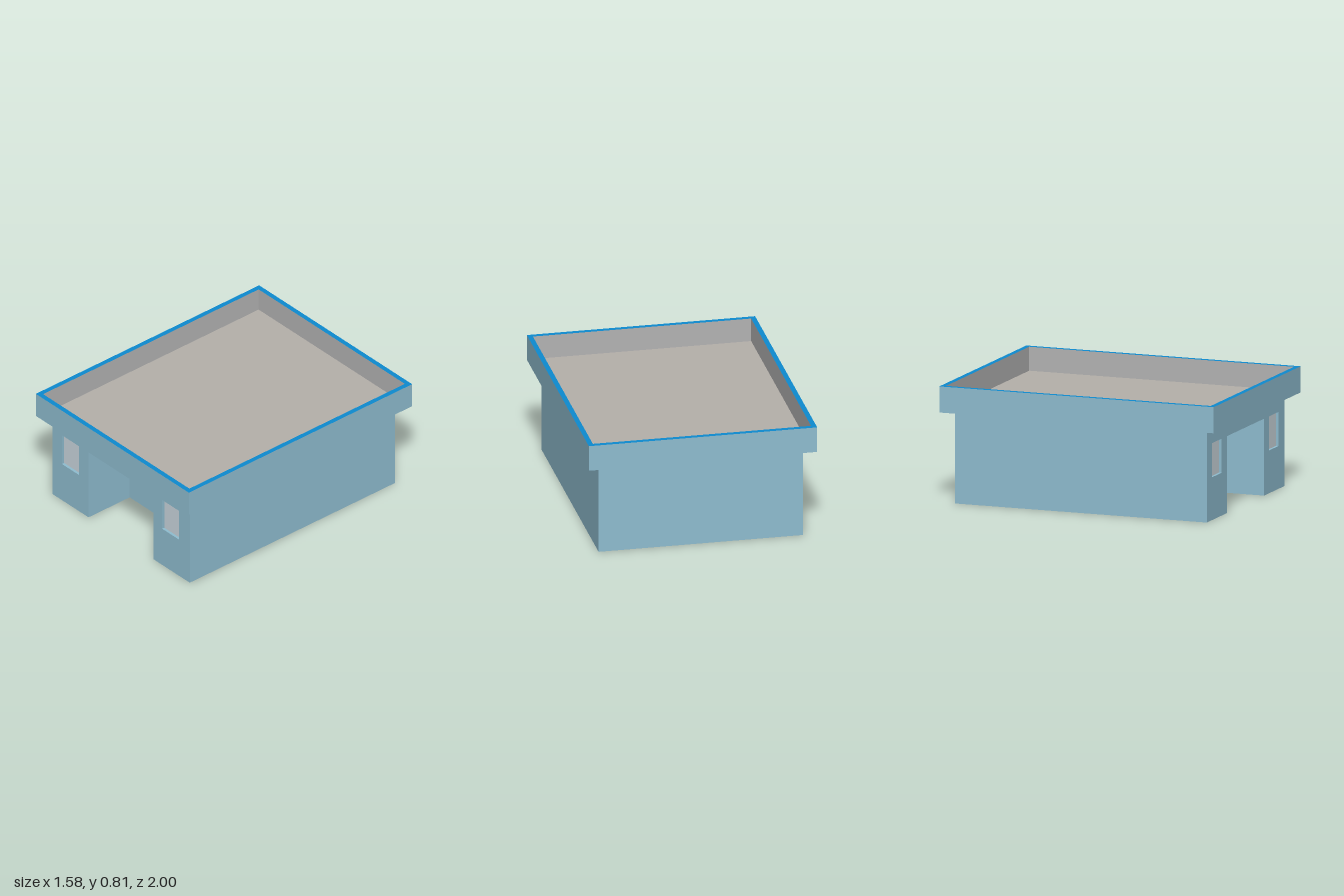
import * as THREE from 'three';

const mat = (color) => new THREE.MeshStandardMaterial({ color, side: THREE.DoubleSide });

// Closed outline from [x, y] pairs
const outline = (pts, Type = THREE.Shape) => new Type(pts.map(([x, y]) => new THREE.Vector2(x, y)));
const rect = (x0, y0, x1, y1, Type) => outline([[x0, y0], [x1, y0], [x1, y1], [x0, y1]], Type);

export function createModel() {
  const model = new THREE.Group();
  model.name = 'flatRoofBuilding';

  const wallMat = mat(0x8fbdd0);
  const rimMat = mat(0x0d8bd0);
  const liningMat = mat(0xb4b4b4);
  const roofMat = mat(0xb5b0aa);
  const windowMat = mat(0xcbd7de);
  const doorMat = mat(0xbabcbd);

  const add = (name, geometry, material, x = 0, y = 0, z = 0) => {
    const mesh = new THREE.Mesh(geometry, material);
    mesh.name = name;
    mesh.position.set(x, y, z);
    model.add(mesh);
    return mesh;
  };

  // Horizontal sheet, outline given as [x, z]; faces up, or down when flipped
  const sheet = (name, shape, material, y, down = false) => {
    const g = new THREE.ShapeGeometry(shape);
    g.scale(1, down ? 1 : -1, 1);
    if (!down) {
      const index = g.index.array;
      for (let i = 0; i < index.length; i += 3) [index[i], index[i + 1]] = [index[i + 1], index[i]];
    }
    g.rotateX(down ? Math.PI / 2 : -Math.PI / 2);
    g.computeVertexNormals();
    return add(name, g, material, 0, y, 0);
  };

  // Upright sheet from plan point a to plan point b
  const upright = (name, material, [ax, az], [bx, bz], y0, y1) => {
    const g = new THREE.PlaneGeometry(Math.hypot(bx - ax, bz - az), y1 - y0);
    g.rotateY(Math.atan2(az - bz, bx - ax));
    return add(name, g, material, (ax + bx) / 2, (y0 + y1) / 2, (az + bz) / 2);
  };

  // Main dimensions
  const L = -0.71, R = 0.705, Z = 0.918, eaves = 0.635, top = 0.815;
  const nL = -0.34, nR = 0.33, nTop = 0.53, nZ = 0.55;
  const floorY = 0.17, t = 0.02;

  // Front wall with the porch opening and two windows
  const front = outline([[L, 0], [nL, 0], [nL, nTop], [nR, nTop], [nR, 0], [R, 0], [R, eaves], [L, eaves]]);
  for (const [x0, x1] of [[-0.615, -0.44], [0.42, 0.595]]) {
    front.holes.push(rect(x0, 0.295, x1, nTop, THREE.Path));
    add('windowPane', new THREE.PlaneGeometry(x1 - x0, nTop - 0.295), windowMat,
      (x0 + x1) / 2, (nTop + 0.295) / 2, Z - t + 0.001);
  }
  const extrude = { depth: t, bevelEnabled: false };
  add('frontWall', new THREE.ExtrudeGeometry(front, extrude), wallMat, 0, 0, Z - t);

  // Side and back walls
  upright('leftWall', wallMat, [R, Z], [R, -Z], 0, eaves);
  upright('backWall', wallMat, [R, -Z], [L, -Z], 0, eaves);
  upright('rightWall', wallMat, [L, -Z], [L, Z], 0, eaves);

  // Recessed porch with the door panel
  const porch = rect(nL, 0, nR, nTop);
  porch.holes.push(rect(-0.11, floorY, 0.1, 0.505, THREE.Path));
  add('porchBackWall', new THREE.ExtrudeGeometry(porch, extrude), wallMat, 0, 0, nZ - t);
  add('doorPanel', new THREE.PlaneGeometry(0.21, 0.335), doorMat, -0.005, 0.3375, nZ - t + 0.001);
  upright('porchSideWall', wallMat, [nL, Z - t], [nL, nZ], 0, nTop);
  upright('porchSideWall', wallMat, [nR, nZ], [nR, Z - t], 0, nTop);
  sheet('porchCeiling', rect(nL, nZ, nR, Z), wallMat, nTop, true);

  // Raised floor, cut away around the porch, with a small fitting beneath
  sheet('floor', outline([[L, -Z], [R, -Z], [R, Z], [nR, Z], [nR, nZ], [nL, nZ], [nL, Z], [L, Z]]),
    roofMat, floorY, true);
  add('floorFitting', new THREE.CylinderGeometry(0.012, 0.012, 0.01, 12), liningMat, -0.07, floorY - 0.005, 0.09);

  // Parapet: outer fascia, inner lining, coloured rim, soffit and roof deck
  const X = 0.79, D = 1, w = 0.035, roofY = 0.65;
  const corners = (x, z) => [[-x, z], [x, z], [x, -z], [-x, -z]];
  const outer = corners(X, D), inner = corners(X - w, D - w);
  for (let i = 0; i < 4; i++) {
    const j = (i + 1) % 4;
    upright('fascia', wallMat, outer[i], outer[j], eaves, top);
    upright('parapetLining', liningMat, inner[j], inner[i], roofY, top);
  }
  const rim = outline(outer);
  rim.holes.push(outline(inner, THREE.Path));
  sheet('parapetRim', rim, rimMat, top);
  const soffit = outline(outer);
  soffit.holes.push(rect(L, -Z, R, Z, THREE.Path));
  sheet('soffit', soffit, wallMat, eaves, true);
  sheet('roofDeck', outline(inner), roofMat, roofY);

  return model;
}
